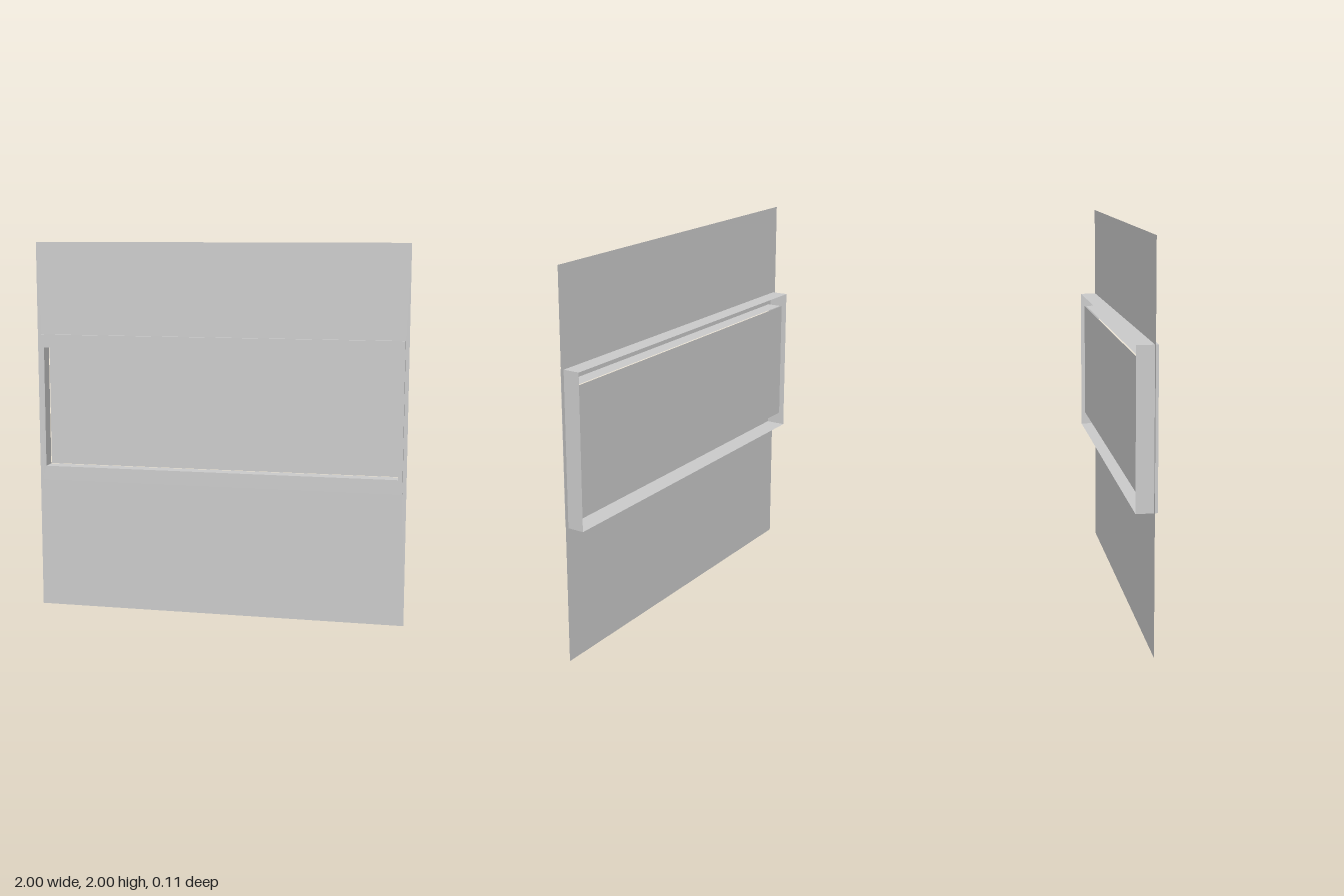
import * as THREE from 'three';

const FRONT = 0.053, REAR = -0.053, WALL_Z = 0.035;
const OUTER = { x0: -0.98, x1: 0.98, y0: 0.71, y1: 1.505 };
const INNER = { x0: -0.96, x1: 0.957, y0: 0.785, y1: 1.435 };

export function createModel() {
  const model = new THREE.Group();
  const material = new THREE.MeshStandardMaterial({
    color: 0xcccccc, side: THREE.DoubleSide, flatShading: true,
  });

  const add = (name, geometry, x = 0, y = 0, z = 0) => {
    const mesh = new THREE.Mesh(geometry, material);
    mesh.name = name;
    mesh.position.set(x, y, z);
    model.add(mesh);
    return mesh;
  };

  const trace = (path, r) => path
    .moveTo(r.x0, r.y0).lineTo(r.x1, r.y0).lineTo(r.x1, r.y1).lineTo(r.x0, r.y1).closePath();

  // Flat sheet with a rectangular opening
  const sheet = (outer, hole) => {
    const shape = new THREE.Shape();
    trace(shape, outer);
    const opening = new THREE.Path();
    trace(opening, hole);
    shape.holes.push(opening);
    return new THREE.ShapeGeometry(shape);
  };

  // Four thin sheets running back from a rectangle
  const sleeve = (name, r, front, rear) => {
    const depth = front - rear, z = (front + rear) / 2;
    const w = r.x1 - r.x0, h = r.y1 - r.y0;
    const cx = (r.x0 + r.x1) / 2, cy = (r.y0 + r.y1) / 2;
    for (const [side, y, turn] of [['Top', r.y1, -1], ['Bottom', r.y0, 1]]) {
      add(name + side, new THREE.PlaneGeometry(w, depth), cx, y, z).rotation.x = turn * Math.PI / 2;
    }
    for (const [side, x, turn] of [['Left', r.x1, 1], ['Right', r.x0, -1]]) {
      add(name + side, new THREE.PlaneGeometry(depth, h), x, cy, z).rotation.y = turn * Math.PI / 2;
    }
  };

  // Large square wall around the frame
  add('wallPanel', sheet({ x0: -1, x1: 1, y0: 0, y1: 2 }, OUTER), 0, 0, WALL_Z);

  // Front face of the frame, its outer casing and its inner reveal
  add('frameFace', sheet(OUTER, INNER), 0, 0, FRONT);
  sleeve('casing', OUTER, FRONT, REAR);
  sleeve('reveal', INNER, FRONT, -0.024);

  // Recessed pane, set just behind the reveal
  add('pane', new THREE.PlaneGeometry(INNER.x1 - INNER.x0, INNER.y1 - INNER.y0),
    (INNER.x0 + INNER.x1) / 2, (INNER.y0 + INNER.y1) / 2, -0.034);

  return model;
}
